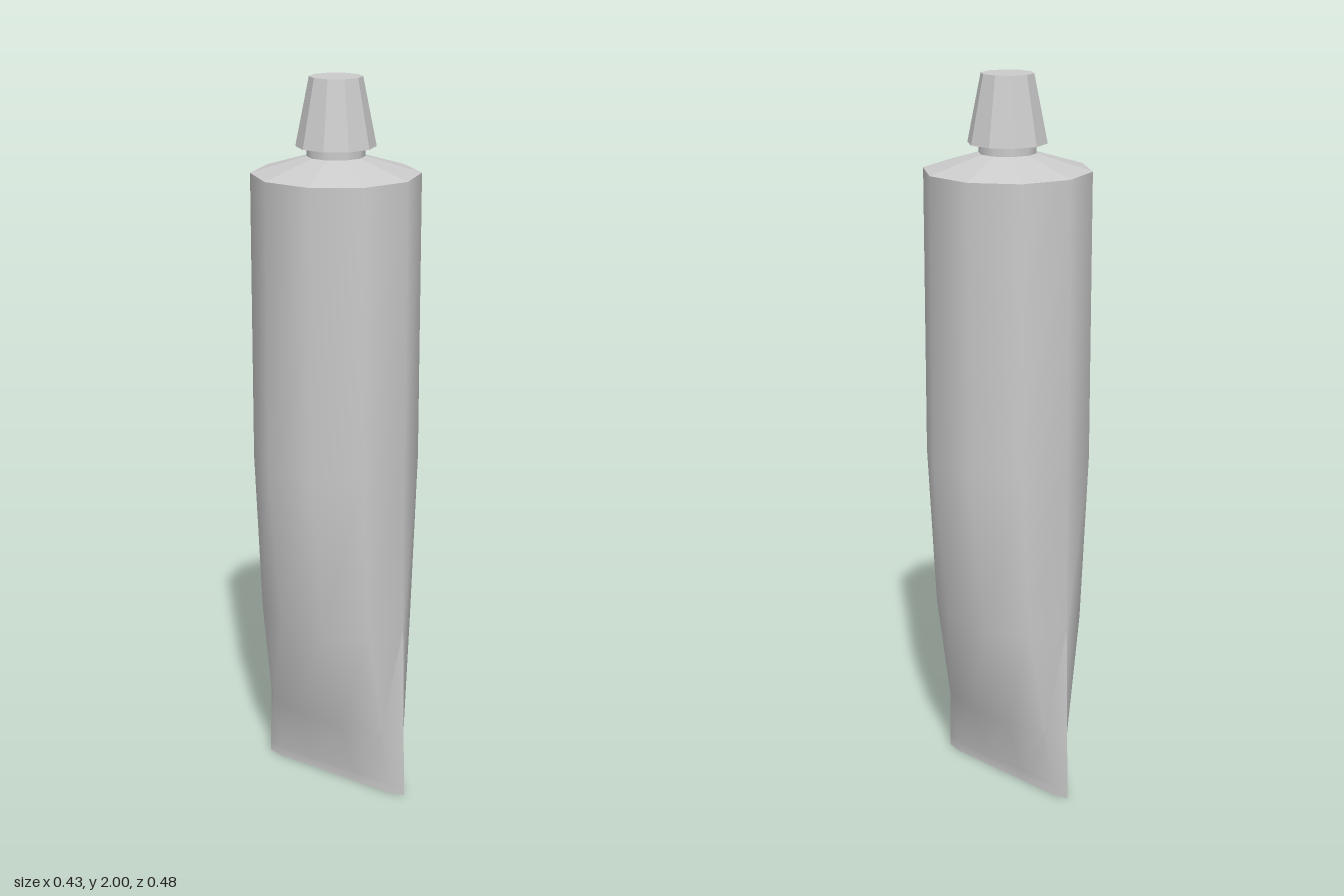
import * as THREE from 'three';
import { toCreasedNormals } from 'three/addons/utils/BufferGeometryUtils.js';

const SIDES = 10;
const smooth = new THREE.MeshStandardMaterial({ color: 0xcccccc });
const faceted = new THREE.MeshStandardMaterial({ color: 0xcccccc, flatShading: true });

// Tube sections from the crimped end up: height, half width (x), half depth (z)
const SECTIONS = [
  [0, 0.012, 0.238],
  [0.03, 0.012, 0.238],
  [0.2, 0.075, 0.233],
  [0.51, 0.16, 0.228],
  [0.97, 0.213, 0.225],
  [1.75, 0.213, 0.225],
];

// Ten-sided tube squeezed flat towards the bottom
function bodyGeometry() {
  const rows = SECTIONS.length - 1;
  const geometry = new THREE.CylinderGeometry(1, 1, rows, SIDES, rows);
  const p = geometry.attributes.position;
  const widest = Math.sin(Math.PI * 0.4);
  for (let i = 0; i < p.count; i++) {
    const row = Math.round(p.getY(i) + rows / 2);
    const [y, halfWidth, halfDepth] = SECTIONS[row];
    // The crimp is a flat strip, so its inner points share one thickness
    const x = row < 2
      ? Math.max(-1, Math.min(1, p.getX(i) / 0.58))
      : p.getX(i) / widest;
    p.setXYZ(i, x * halfWidth, y, p.getZ(i) * halfDepth);
  }
  return toCreasedNormals(geometry, Math.PI / 3);
}

// Ten-sided frustum standing between two heights
function frustum(name, bottomY, topY, bottomR, topR, material, open) {
  const geometry = new THREE.CylinderGeometry(topR, bottomR, topY - bottomY, SIDES, 1, open);
  const mesh = new THREE.Mesh(geometry, material);
  mesh.position.y = (bottomY + topY) / 2;
  mesh.name = name;
  return mesh;
}

export function createModel() {
  const group = new THREE.Group();
  group.name = 'squeezeTube';

  const body = new THREE.Mesh(bodyGeometry(), smooth);
  body.name = 'tubeBody';
  group.add(body);

  group.add(
    frustum('shoulder', 1.75, 1.795, 0.225, 0.075, faceted, true),
    frustum('neck', 1.785, 1.825, 0.077, 0.077, smooth, true),
    frustum('cap', 1.82, 2, 0.106, 0.07, faceted, false),
  );
  return group;
}
